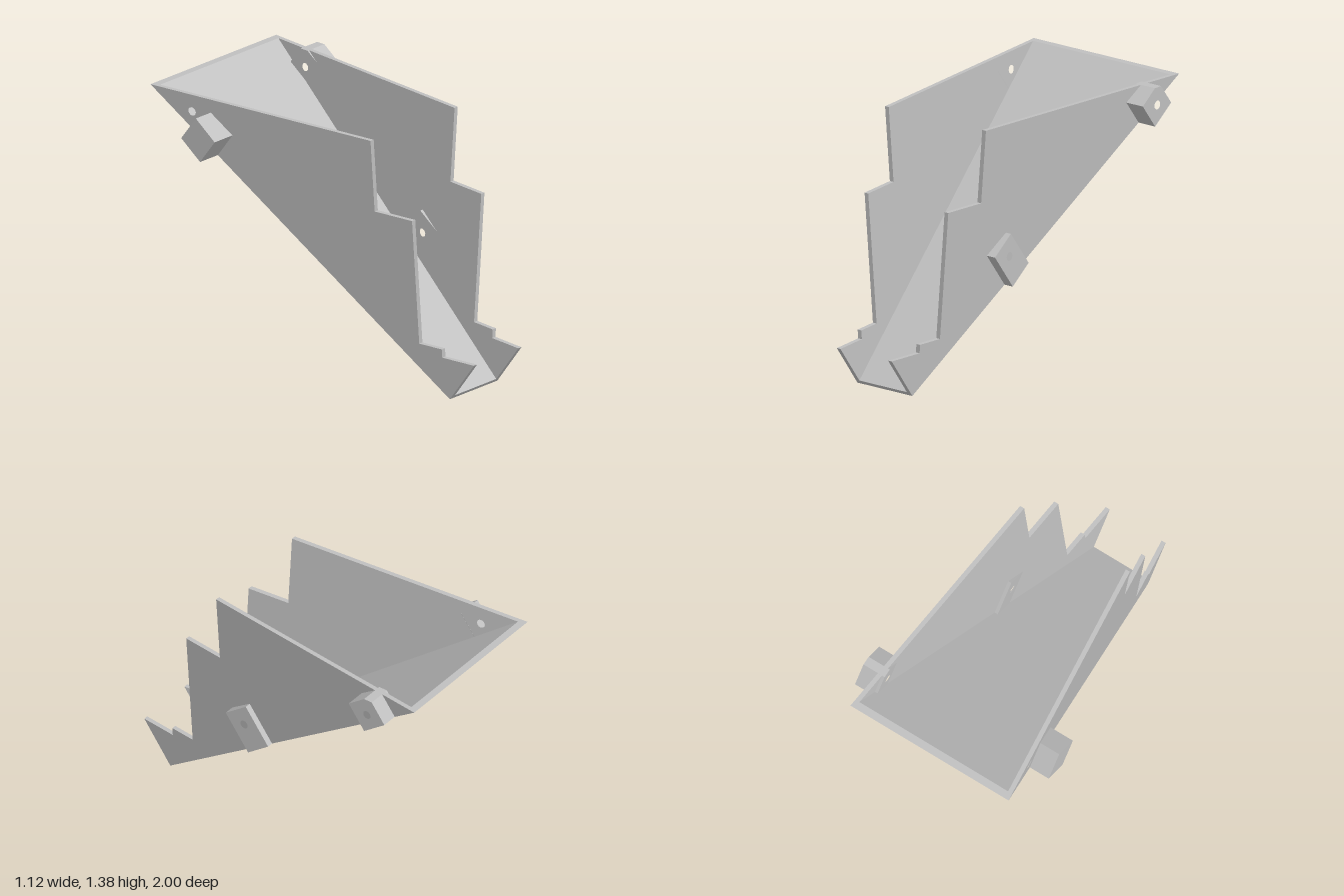
import * as THREE from 'three';

const LEN = 2.292;        // length of the sloping floor
const WALL = 0.025;       // sheet thickness
const COS = 0.798, SIN = 0.602;

// slope coordinates (u along the floor, v square to it) to [z, y]
const at = (u, v) => [0.83 - COS * u + SIN * v, SIN * u + COS * v];
// half width of the tapering chute at a point of the side profile
const outer = (z, y) => 0.185 + (0.305 / LEN) * ((0.83 - z) * COS + y * SIN);

// Extrude a [z, y] outline across x; xOf(z, y, c) gives x for c from 0 to 1
function slab(name, outline, holes, xOf, material) {
  const shape = new THREE.Shape(outline.map(([z, y]) => new THREE.Vector2(-z, y)));
  for (const [z, y] of holes) {
    const hole = new THREE.Path();
    hole.absarc(-z, y, 0.024, 0, Math.PI * 2, true);
    shape.holes.push(hole);
  }
  const geo = new THREE.ExtrudeGeometry(shape, { depth: 1, bevelEnabled: false, curveSegments: 6 });
  const p = geo.attributes.position;
  for (let i = 0; i < p.count; i++) {
    const z = -p.getX(i), y = p.getY(i), c = p.getZ(i);
    p.setXYZ(i, xOf(z, y, c), y, z);
  }
  geo.computeVertexNormals();
  const mesh = new THREE.Mesh(geo, material);
  mesh.name = name;
  return mesh;
}

export function createModel() {
  const group = new THREE.Group();
  group.name = 'chute';
  const grey = new THREE.MeshStandardMaterial({ color: 0xbfbfbf });
  grey.name = 'grey';

  // stepped side walls
  const side = [
    [0.83, 0], [1, 0.23], [0.797, 0.23], [0.797, 0.277], [0.652, 0.277],
    [0.652, 0.977], [0.412, 0.977], [0.412, 1.38], [-1, 1.38],
  ];
  const upperHole = at(2.027, 0.08), lowerHole = at(0.874, 0.153);
  group.add(slab('leftWall', side, [upperHole, lowerHole],
    (z, y, c) => outer(z, y) - WALL * (1 - c), grey));
  group.add(slab('rightWall', side, [upperHole],
    (z, y, c) => -outer(z, y) + WALL * c, grey));

  // sloping floor between the walls
  const floor = [[0.83, 0], [0.845, 0.02], [-0.9585, 1.38], [-1, 1.38]];
  group.add(slab('floor', floor, [],
    (z, y, c) => (2 * c - 1) * (outer(z, y) - WALL), grey));

  // mounting lugs, set through the walls
  const lug = (name, outline, holes, x0, x1) =>
    group.add(slab(name, outline.map(([u, v]) => at(u, v)), holes,
      (z, y, c) => x0 + (x1 - x0) * c, grey));
  lug('upperLeftLug', [[1.944, 0], [1.944, 0.168], [2.07, 0.168], [2.11, 0.138], [2.11, 0]],
    [upperHole], 0.424, 0.555);
  lug('lowerLeftLug', [[0.792, 0], [0.792, 0.243], [0.956, 0.243], [0.956, 0]],
    [lowerHole], 0.268, 0.346);
  lug('upperRightLug', [[1.777, 0], [1.777, 0.17], [1.943, 0.17], [1.943, 0]],
    [], -0.56, -0.418);

  return group;
}
